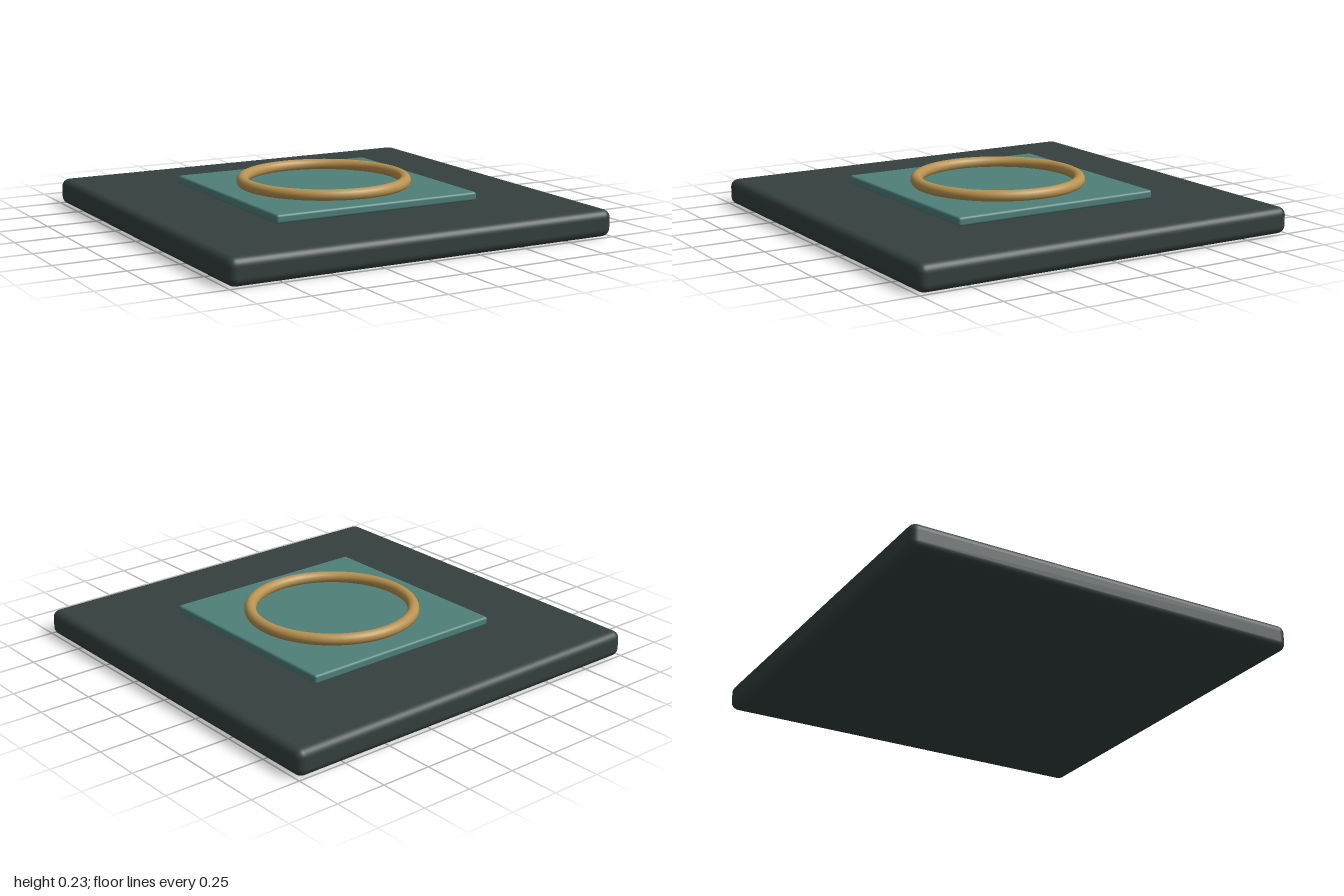
import * as THREE from 'three';
import { RoundedBoxGeometry } from 'three/addons/geometries/RoundedBoxGeometry.js';

const material = (name, color) => {
  const m = new THREE.MeshStandardMaterial({ color });
  m.name = name;
  return m;
};

export function createModel() {
  const group = new THREE.Group();
  group.name = 'floorTile';

  const add = (name, geometry, mat, y) => {
    const mesh = new THREE.Mesh(geometry, mat);
    mesh.name = name;
    mesh.position.y = y;
    group.add(mesh);
  };

  // Thick square slab with softened edges
  add('baseSlab', new RoundedBoxGeometry(2, 0.13, 2, 4, 0.04),
    material('dark slate', 0x34403f), 0.065);

  // Thin raised plate in the middle
  add('inlayPlate', new RoundedBoxGeometry(1.08, 0.043, 1.08, 3, 0.012),
    material('teal', 0x4f8079), 0.1575);

  // Ring lying flat, partly sunk into the plate
  const ring = new THREE.TorusGeometry(0.4, 0.029, 20, 96);
  ring.rotateX(-Math.PI / 2);
  add('ring', ring, material('brass', 0xb8924f), 0.2);

  return group;
}
